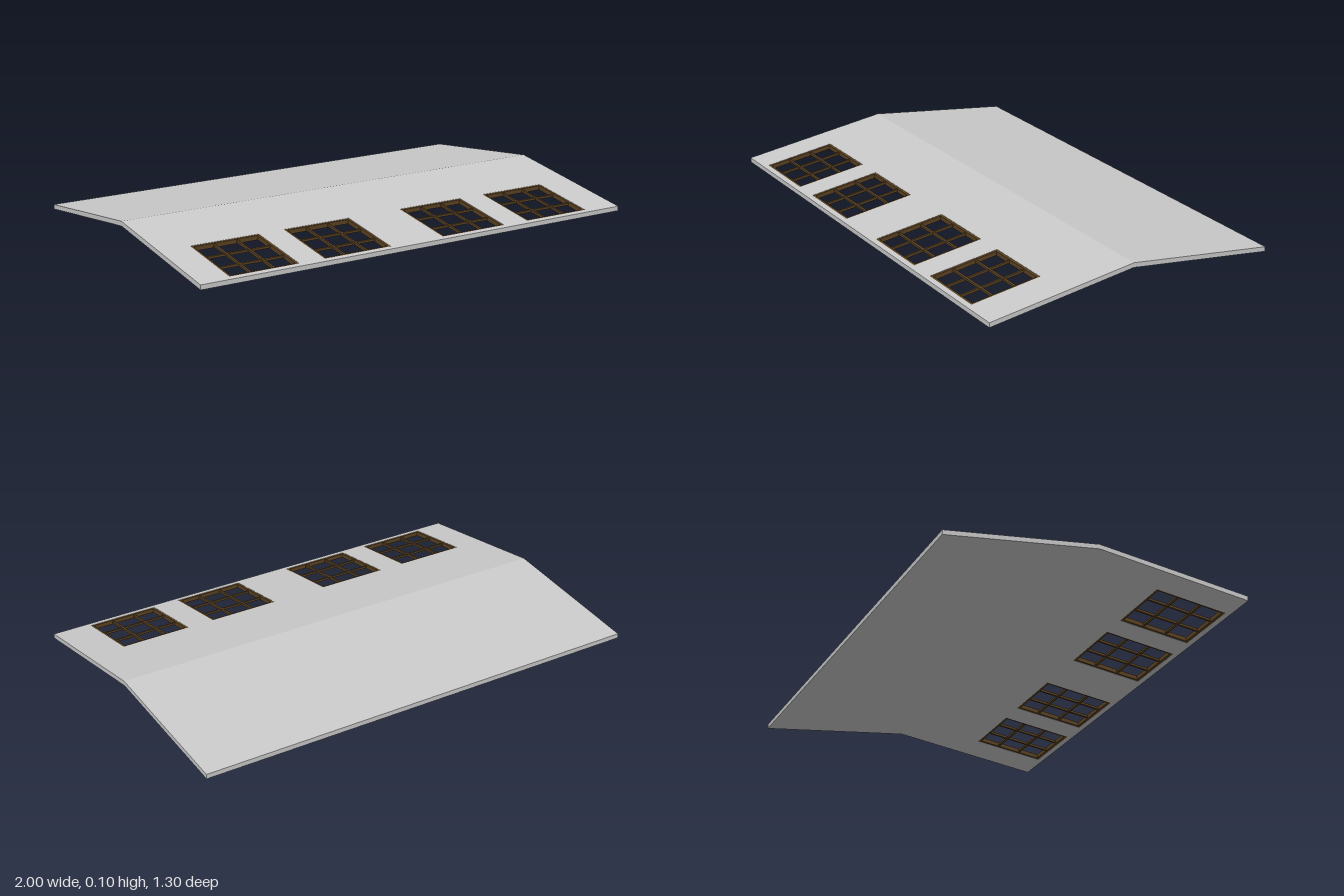
import * as THREE from 'three';

const HALF_X = 1, HALF_Z = 0.65, THICK = 0.02, RISE = 0.085;
const WIN = { z0: 0.32, z1: 0.627, w: 0.305, xs: [-0.713, -0.293, 0.262, 0.686] };

const grey = new THREE.MeshStandardMaterial({ color: 0xcccccc });
const wood = new THREE.MeshStandardMaterial({ color: 0x5c4322 });

// Shears a flat piece up to the roof pitch, keeping its ends vertical
function pitch(geo) {
  const p = geo.attributes.position;
  for (let i = 0; i < p.count; i++) {
    p.setY(i, p.getY(i) + RISE * (1 - Math.abs(p.getZ(i)) / HALF_Z));
  }
  geo.computeVertexNormals();
  return geo;
}

// Rectangle in plan; shape y is -z
function rect(Type, x0, x1, z0, z1) {
  const pts = [[x0, -z1], [x1, -z1], [x1, -z0], [x0, -z0]];
  return new Type(pts.map(([x, y]) => new THREE.Vector2(x, y)));
}

// Plan shape raised by its thickness, then pitched
function slab(name, shape, depth, base, material) {
  const geo = new THREE.ExtrudeGeometry(shape, { depth, bevelEnabled: false });
  geo.rotateX(-Math.PI / 2).translate(0, base, 0);
  const mesh = new THREE.Mesh(pitch(geo), material);
  mesh.name = name;
  return mesh;
}

// Square skylight: outer frame and a 3 x 3 grid of bars, without glass
function skylight(cx) {
  const group = new THREE.Group();
  group.name = 'skylight';
  const { z0, z1, w } = WIN, edge = 0.01, bar = 0.009;
  const x0 = cx - w / 2, x1 = cx + w / 2;

  const frame = rect(THREE.Shape, x0, x1, z0, z1);
  frame.holes.push(rect(THREE.Path, x0 + edge, x1 - edge, z0 + edge, z1 - edge));
  group.add(slab('skylightFrame', frame, THICK - 0.002, 0.001, wood));

  for (let i = 1; i <= 2; i++) {
    const x = x0 + (w * i) / 3, z = z0 + ((z1 - z0) * i) / 3;
    const upright = rect(THREE.Shape, x - bar / 2, x + bar / 2, z0 + edge, z1 - edge);
    const cross = rect(THREE.Shape, x0 + edge, x1 - edge, z - bar / 2, z + bar / 2);
    group.add(slab('uprightBar', upright, 0.010, 0.005, wood));
    group.add(slab('crossBar', cross, 0.009, 0.0055, wood));
  }
  return group;
}

export function createModel() {
  const model = new THREE.Group();
  model.name = 'gableRoof';

  // Plain back slope
  model.add(slab('backSlope', rect(THREE.Shape, -HALF_X, HALF_X, -HALF_Z, 0), THICK, 0, grey));

  // Front slope with skylight openings
  const front = rect(THREE.Shape, -HALF_X, HALF_X, 0, HALF_Z);
  for (const x of WIN.xs) {
    front.holes.push(rect(THREE.Path, x - WIN.w / 2, x + WIN.w / 2, WIN.z0, WIN.z1));
  }
  model.add(slab('frontSlope', front, THICK, 0, grey));

  for (const x of WIN.xs) model.add(skylight(x));
  return model;
}
